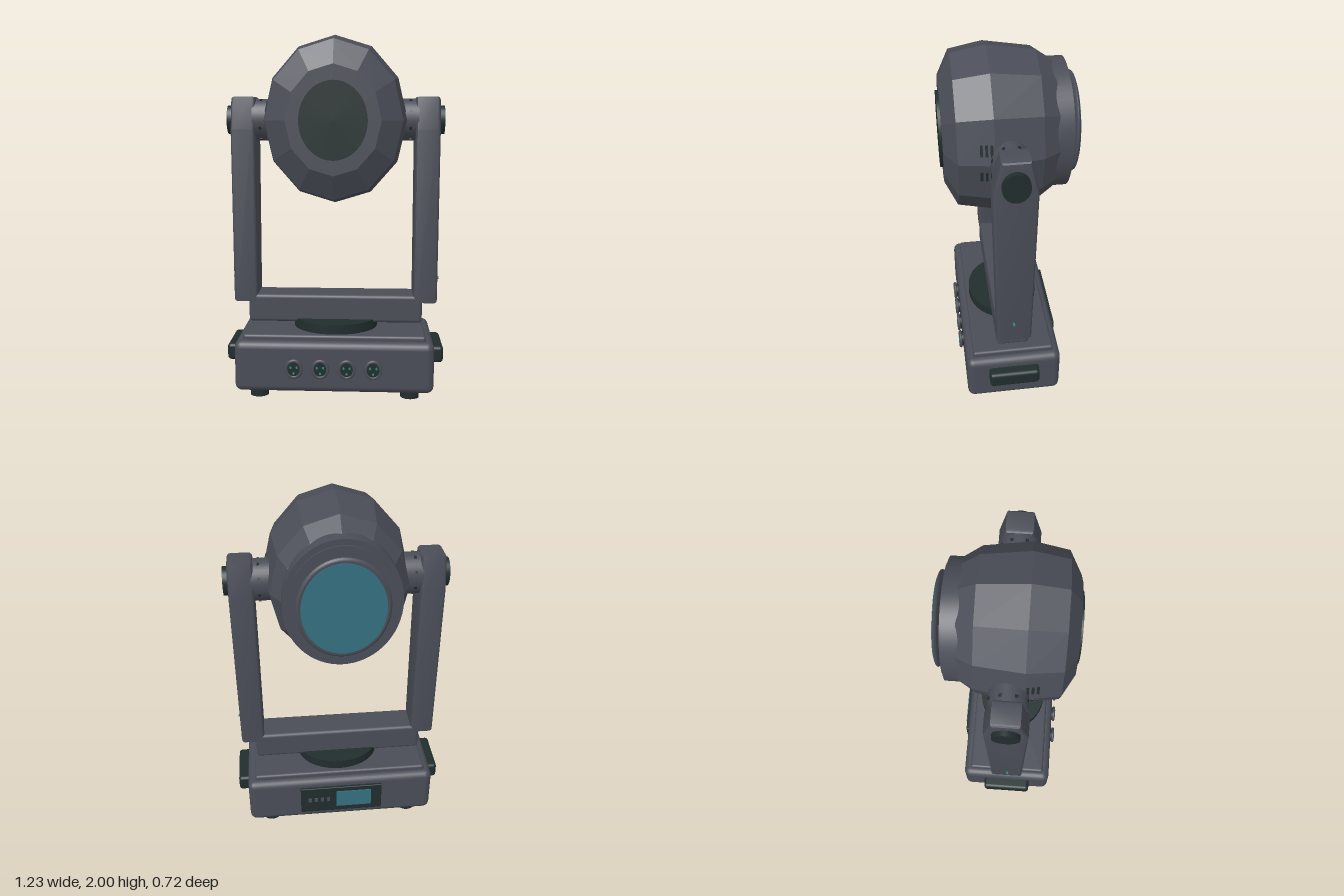
import * as THREE from 'three';
import { toCreasedNormals } from 'three/addons/utils/BufferGeometryUtils.js';
import { RoundedBoxGeometry } from 'three/addons/geometries/RoundedBoxGeometry.js';

const SQUASH = 0.87; // round parts are narrower across than tall
const HEAD_Y = 1.545, AXIS_Z = 0.025;

const mat = (name, color) => Object.assign(new THREE.MeshStandardMaterial({ color }), { name });

export function createModel() {
  const body = mat('slate grey', 0x4a4d57);
  const dark = mat('dark rubber', 0x212d2d);
  const glass = mat('teal glass', 0x357080);
  const led = mat('green contact', 0x2b8c80);

  const model = new THREE.Group();
  model.name = 'movingHeadLight';
  const group = (name) => {
    const g = new THREE.Group();
    g.name = name;
    model.add(g);
    return g;
  };
  const add = (parent, name, geo, material, x = 0, y = 0, z = 0) => {
    const m = new THREE.Mesh(geo, material);
    m.name = name;
    m.position.set(x, y, z);
    parent.add(m);
    return m;
  };
  const box = (w, h, d, r = 0.02) => new RoundedBoxGeometry(w, h, d, 3, r);
  // Lathe around z; profile is [radius, z] with z rising
  const turned = (pts, sides, crease = 0.6) => {
    const g = new THREE.LatheGeometry(pts.map(([r, z]) => new THREE.Vector2(r, z)), sides);
    g.rotateX(Math.PI / 2).scale(SQUASH, 1, 1);
    return toCreasedNormals(g, crease);
  };
  // Elliptical cylinders along each axis
  const discZ = (rx, ry, d, n = 40) =>
    new THREE.CylinderGeometry(1, 1, d, n).rotateX(Math.PI / 2).scale(rx, ry, 1);
  const discX = (rz, ry, w, n = 40) =>
    new THREE.CylinderGeometry(1, 1, w, n).rotateZ(Math.PI / 2).scale(1, ry, rz);
  const discY = (rx, rz, h, n = 40) => new THREE.CylinderGeometry(1, 1, h, n).scale(rx, 1, rz);

  // Base housing, feet and turntable
  const base = group('base');
  add(base, 'baseHousing', box(1.11, 0.29, 0.54, 0.04), body, 0, 0.185, 0.02);
  add(base, 'baseTopPlate', box(1.02, 0.06, 0.46, 0.015), body, 0, 0.33, 0.02);
  add(base, 'turntable', discY(0.24, 0.205, 0.06), dark, 0, 0.385, AXIS_Z);
  for (const x of [-0.425, 0.425])
    for (const z of [-0.16, 0.21]) add(base, 'foot', discY(0.052, 0.045, 0.06, 24), dark, x, 0.03, z);
  for (const s of [-1, 1]) add(base, 'sideHandle', box(0.08, 0.095, 0.285), dark, s * 0.575, 0.228, 0.023);

  // Four round sockets with three contacts each
  for (const x of [-0.22, -0.074, 0.072, 0.218]) {
    add(base, 'socketBody', discZ(0.042, 0.047, 0.03, 28), dark, x, 0.185, 0.298);
    add(base, 'socketRim', new THREE.TorusGeometry(0.041, 0.009, 8, 28).scale(1, 1.13, 1), body, x, 0.185, 0.307);
    for (let i = 0; i < 3; i++) {
      const a = Math.PI / 2 + (i * Math.PI * 2) / 3;
      add(base, 'socketContact', discZ(0.006, 0.007, 0.008, 10), led,
        x + 0.02 * Math.cos(a), 0.185 - 0.022 * Math.sin(a), 0.314);
    }
  }

  // Rear control panel
  add(base, 'controlPanel', box(0.49, 0.185, 0.03, 0.005), dark, 0, 0.19, -0.251);
  add(base, 'displayScreen', new THREE.BoxGeometry(0.21, 0.115, 0.008), glass, -0.075, 0.195, -0.268);
  for (let i = 0; i < 4; i++)
    add(base, 'panelButton', new THREE.BoxGeometry(0.02, 0.026, 0.009), body, 0.19 - i * 0.037, 0.195, -0.268);

  // Yoke: cross bar and two tapered arms
  const yoke = group('yoke');
  add(yoke, 'yokeCrossBar', box(0.99, 0.16, 0.185), body, 0, 0.475, 0.022);
  const b = 0.018;
  const armShape = new THREE.Shape([
    [-0.116 + b, 0.515 + b], [0.07 - b, 0.515 + b], [0.09 - b, 1.49],
    [0.053 - b, 1.672 - b], [-0.097 + b, 1.672 - b], [-0.135 + b, 1.49],
  ].map(([u, v]) => new THREE.Vector2(u, v)));
  const armGeo = toCreasedNormals(new THREE.ExtrudeGeometry(armShape, {
    depth: 0.135 - 2 * b, bevelSize: b, bevelThickness: b, bevelSegments: 3,
  }).translate(0, 0, b - 0.0675).rotateY(Math.PI / 2), 0.5);
  for (const s of [-1, 1]) {
    add(yoke, 'yokeArm', armGeo, body, s * 0.511, 0, 0);
    add(yoke, 'pivotCap', discX(0.07, 0.08, 0.04), dark, s * 0.585, HEAD_Y, AXIS_Z);
    add(yoke, 'pivotHub', discX(0.1, 0.116, 0.14), body, s * 0.39, HEAD_Y, AXIS_Z);
    add(yoke, 'armIndicator', discX(0.007, 0.008, 0.018, 12), led, s * 0.583, 0.645, 0.03);
    // Bolts around the hub
    for (let i = 0; i < 8; i++) {
      const a = ((i + 0.5) * Math.PI) / 4;
      const bolt = add(yoke, 'hubBolt', new THREE.BoxGeometry(0.014, 0.01, 0.016), dark,
        s * 0.415, HEAD_Y + 0.115 * Math.sin(a), AXIS_Z + 0.099 * Math.cos(a));
      bolt.rotation.x = Math.PI / 2 - a;
    }
  }

  // Faceted head shell, twelve sides
  const head = group('head');
  head.position.y = HEAD_Y;
  add(head, 'headShell', turned([
    [0, -0.28], [0.29, -0.28], [0.357, -0.235], [0.418, -0.15], [0.457, 0.1], [0.422, 0.28], [0.29, 0.345], [0, 0.345],
  ], 12, 0.01), body);
  add(head, 'frontDisc', discZ(0.18, 0.207, 0.03, 48), dark, 0, 0, 0.345);

  // Lens collar and the separate lens behind it
  add(head, 'lensCollar', turned([
    [0, -0.315], [0.322, -0.315], [0.322, -0.304], [0.353, -0.304], [0.353, -0.15],
  ], 64), body);
  add(head, 'lensBezel', turned([
    [0.24, -0.352], [0.262, -0.356], [0.272, -0.352], [0.277, -0.345], [0.272, -0.338], [0.262, -0.334], [0, -0.334],
  ], 64), body);
  add(head, 'lens', discZ(0.217, 0.25, 0.022, 64), glass, 0, 0, -0.349);

  // Cooling slots on both flanks, above and below the pivot
  for (const s of [-1, 1])
    for (const v of [-1, 1])
      for (let i = 0; i < 3; i++) {
        const slot = add(head, 'coolingSlot', new THREE.BoxGeometry(0.012, 0.06, 0.013), dark,
          s * (0.375 - i * 0.004), v * 0.073, 0.115 + i * 0.025);
        slot.rotation.z = s * v * 0.23;
      }
  return model;
}
